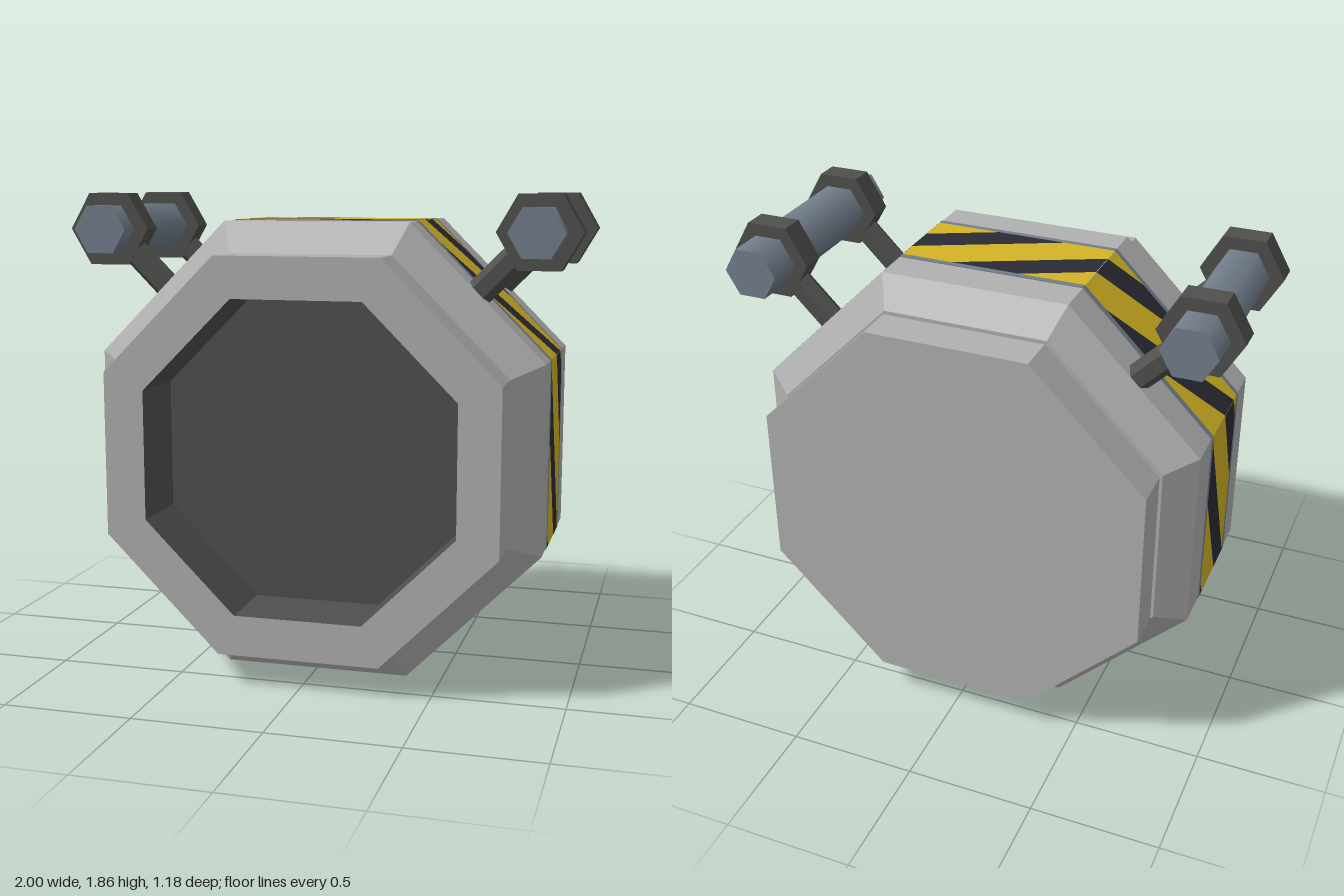
import * as THREE from 'three';

const CY = 0.877;        // height of the drum axis
const R = 0.875;         // drum apothem
const FACE = 2 * R * Math.tan(Math.PI / 8);

const mat = (name, color, opts = {}) => {
  const m = new THREE.MeshStandardMaterial({ color, ...opts });
  m.name = name;
  return m;
};

const flat = (geo) => {
  const g = geo.toNonIndexed();
  g.computeVertexNormals();
  return g;
};

// Octagonal solid along z from [apothem, z] points
const octagon = (points) => {
  const k = 1 / Math.cos(Math.PI / 8);
  const profile = points.map(([a, z]) => new THREE.Vector2(a * k, z));
  return flat(new THREE.LatheGeometry(profile, 8, Math.PI / 8).rotateX(Math.PI / 2));
};

// Six-sided bar along y with corners on +x and -x
const hexBar = (r, len) => new THREE.CylinderGeometry(r, r, len, 6, 1, false, Math.PI / 6);

// Keep the part of a polygon where f(point) >= 0
const clip = (poly, f) => {
  const out = [];
  poly.forEach((p, i) => {
    const q = poly[(i + 1) % poly.length];
    const a = f(p), b = f(q);
    if (a >= 0) out.push(p);
    if (a * b < 0) out.push(p.clone().lerp(q, a / (a - b)));
  });
  return out;
};

export function createModel() {
  const model = new THREE.Group();
  model.name = 'drumContainer';

  const casing = mat('casing grey', 0xb0b0b0);
  const dark = mat('dark metal', 0x4f4f4d);
  const steel = mat('blue steel', 0x727e8b);
  const yellow = mat('warning yellow', 0xd4b424, { side: THREE.DoubleSide });
  const black = mat('warning black', 0x2b2b34, { side: THREE.DoubleSide });

  const add = (name, geo, material, parent = model) => {
    const mesh = new THREE.Mesh(geo, material);
    mesh.name = name;
    parent.add(mesh);
    return mesh;
  };

  // Drum casing, recess, back plate
  const drum = new THREE.Group();
  drum.name = 'drum';
  drum.position.y = CY;
  model.add(drum);
  add('casing', octagon([[0, -0.422], [0.765, -0.422], [R, -0.335], [R, 0.32],
    [0.757, 0.407], [0.757, 0.59], [0.6, 0.59]]), casing, drum);
  add('frontRecess', octagon([[0.6, 0.59], [0.6, 0.31], [0, 0.31]]), dark, drum);
  add('backGroove', octagon([[0.72, -0.44], [0.72, -0.415]]), dark, drum);
  add('backPlate', octagon([[0, -0.59], [0.757, -0.59], [0.757, -0.434], [0, -0.434]]), casing, drum);
  drum.children[3].geometry = octagon([[0, -0.59], [0.757, -0.59], [0.757, -0.434], [0, -0.434]]);

  // Warning band: slanted stripes spiral round the drum, finer on the three lower faces
  const half = 0.165;
  for (let i = -3; i <= 4; i++) {
    const side = new THREE.Group();
    side.name = 'warningBandSide';
    side.rotation.z = -i * Math.PI / 4;
    drum.add(side);

    const lower = Math.abs(i) > 2;
    const slope = lower ? 0.52 : 2.1;
    const period = lower ? 0.19 : 0.64;
    const darkWidth = lower ? 0.09 : 0.27;
    const centre = lower ? 2.12 : 0.32;
    const u = (p) => i * FACE + p.x - slope * p.y;
    const w = FACE / 2;
    const rect = [[-w, -half], [w, -half], [w, half], [-w, half]]
      .map(([x, y]) => new THREE.Vector2(x, y));

    const stripe = (name, from, to, material) => {
      const poly = clip(clip(rect, (p) => u(p) - from), (p) => to - u(p));
      if (poly.length < 3) return;
      const geo = new THREE.ShapeGeometry(new THREE.Shape(poly)).rotateX(-Math.PI / 2);
      add(name, geo, material, side).position.y = R + 0.003;
    };
    const first = Math.floor((i * FACE - 1.2 - centre) / period);
    const last = Math.ceil((i * FACE + 1.2 - centre) / period);
    for (let k = first; k <= last; k++) {
      const start = centre + k * period - darkWidth / 2;
      stripe('darkStripe', start, start + darkWidth, black);
      stripe('yellowStripe', start + darkWidth, start + period, yellow);
    }

    // Worn steel edging on both sides of the band
    for (const s of [-1, 1]) {
      const edge = add('bandEdge', new THREE.BoxGeometry(FACE, 0.004, 0.023), steel, side);
      edge.position.set(0, R + 0.001, s * (half + 0.0115));
    }
  }

  // Carrying handles: hexagonal bar, two collars, two posts on each side
  for (const s of [-1, 1]) {
    const handle = new THREE.Group();
    handle.name = s > 0 ? 'leftHandle' : 'rightHandle';
    handle.position.set(s * 0.84, 1.718, 0);
    model.add(handle);

    const bar = add('handleBar', hexBar(0.105, 0.885).rotateX(Math.PI / 2), steel, handle);
    bar.position.z = -0.033;

    for (const z of [0.272, -0.286]) {
      const collar = add('handleCollar', flat(hexBar(0.16, 0.097).rotateX(Math.PI / 2)), dark, handle);
      collar.position.z = z;
      const post = add('handlePost', flat(hexBar(0.053, 0.34)), dark, handle);
      post.position.set(-s * 0.12, -0.12, z);
      post.rotation.z = -s * Math.PI / 4;
    }
  }

  return model;
}
